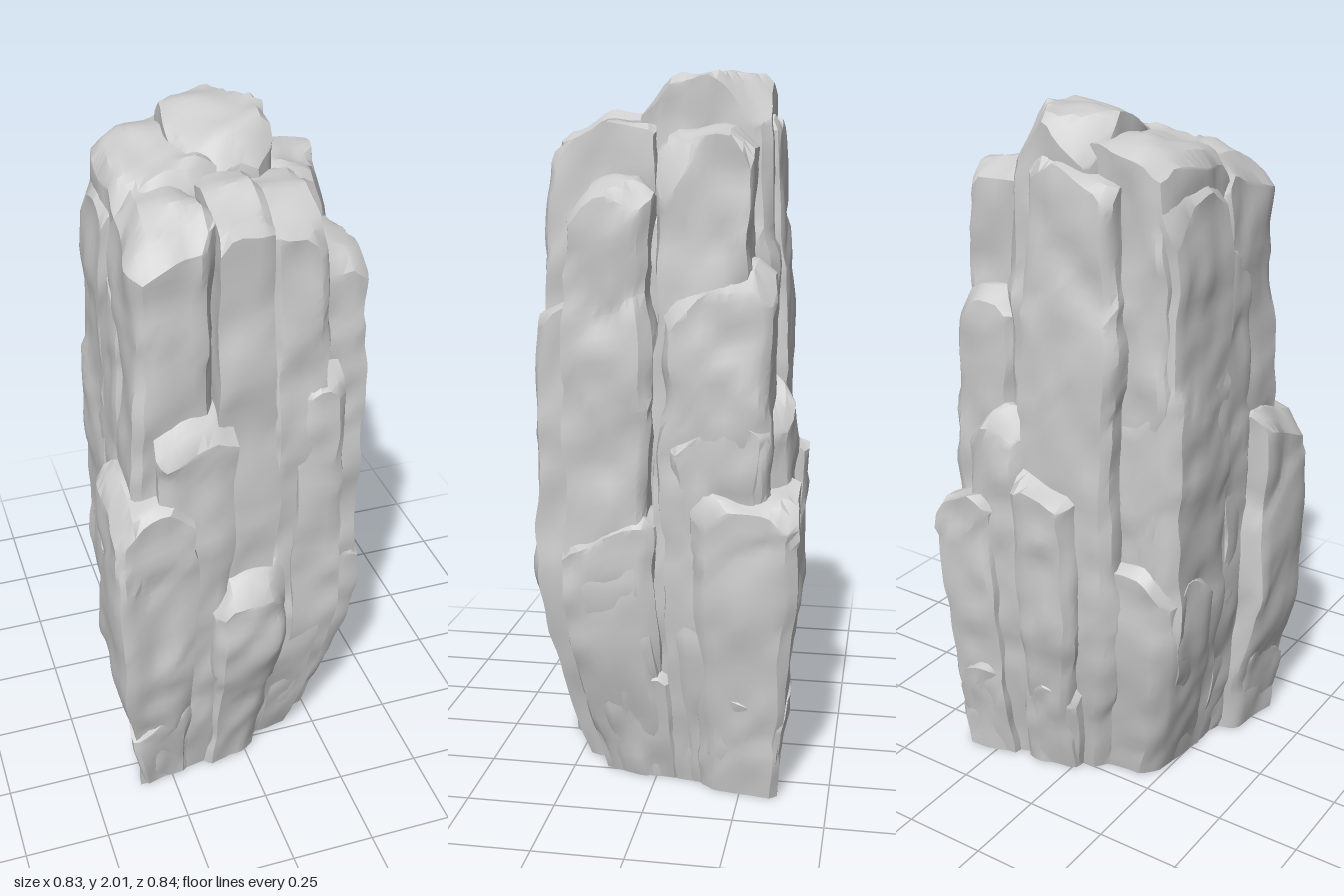
import * as THREE from 'three';
import { toCreasedNormals } from 'three/addons/utils/BufferGeometryUtils.js';

// Small seeded random generator
function seeded(seed) {
  let s = seed * 7919 + 17;
  return () => {
    s = (s * 16807) % 2147483647;
    return s / 2147483647;
  };
}

// Smooth value noise in -1..1
function hash(i, j, k) {
  const v = Math.sin(i * 127.1 + j * 311.7 + k * 74.7) * 43758.5453;
  return v - Math.floor(v);
}
function noise(x, y, z) {
  const i = Math.floor(x), j = Math.floor(y), k = Math.floor(z);
  const ease = (t) => t * t * (3 - 2 * t);
  const u = ease(x - i), v = ease(y - j), w = ease(z - k);
  let sum = 0;
  for (let a = 0; a < 2; a++) for (let b = 0; b < 2; b++) for (let c = 0; c < 2; c++) {
    sum += hash(i + a, j + b, k + c) * (a ? u : 1 - u) * (b ? v : 1 - v) * (c ? w : 1 - w);
  }
  return sum * 2 - 1;
}

// The pillar narrows towards foot and top, and more across one diagonal
function narrow(p) {
  const low = Math.pow(Math.max(0, 1 - p.y / 0.55), 1.3);
  const girth = 1 - 0.13 * low - 0.07 * THREE.MathUtils.smoothstep(p.y, 1.2, 1.9);
  const squeeze = ((p.x + p.z) / 2) * (0.05 + 0.25 * low);
  p.x = (p.x - squeeze) * girth;
  p.z = (p.z - squeeze) * girth;
}

// Flat cuts that chisel the top edges, upright edges and corners of a slab
function makeCuts(rnd, hw, hh, hd) {
  const cuts = [];
  const size = Math.min(hw, hd);
  const add = (x, y, z, depth) => {
    const n = new THREE.Vector3(x, y, z).normalize();
    const reach = Math.abs(n.x) * hw + Math.abs(n.y) * hh + Math.abs(n.z) * hd;
    cuts.push({ n, d: reach - depth * size });
  };
  for (const a of [-1, 1]) {
    add(a, 0.6 + rnd() * 0.6, (rnd() - 0.5) * 0.5, 0.1 + rnd() * 0.25);
    add((rnd() - 0.5) * 0.5, 0.6 + rnd() * 0.6, a, 0.1 + rnd() * 0.25);
    for (const b of [-1, 1]) {
      add(a * (0.5 + rnd()), (rnd() - 0.4) * 0.06, b, 0.1 + rnd() * 0.2);
      add(a * (0.4 + rnd()), 0.5 + rnd() * 0.6, b * (0.4 + rnd()), 0.25 + rnd() * 0.35);
    }
  }
  return cuts;
}

// Moves a point outside a cut down onto it, or inwards if the cut is upright
function applyCut(p, { n, d }) {
  if (p.dot(n) <= d) return;
  const level = n.x * p.x + n.z * p.z;
  if (n.y > 0.3) {
    p.y = (d - level) / n.y;
  } else {
    const k = (d - n.y * p.y) / level;
    p.x *= k;
    p.z *= k;
  }
}

// One upright slab of rock: chiselled, layered, weathered, its top falling away from the summit
const SUMMIT = new THREE.Vector3(0.08, 0, -0.2);
function makeSlab([name, x0, x1, z0, z1, top], index, material) {
  const width = x1 - x0, depth = z1 - z0, hh = top / 2;
  const centre = new THREE.Vector3((x0 + x1) / 2, hh, (z0 + z1) / 2);
  const cuts = makeCuts(seeded(index + 3), width / 2, hh, depth / 2);
  const away = centre.clone().sub(SUMMIT).setY(0).normalize();
  const fall = 0.75 - 0.2 * top;
  const seg = (length, step) => Math.round(length / step);
  const geo = new THREE.BoxGeometry(width, top, depth, seg(width, 0.028), seg(top, 0.035), seg(depth, 0.028));
  const pos = geo.attributes.position;
  const p = new THREE.Vector3();
  const o = index * 5.3;
  for (let i = 0; i < pos.count; i++) {
    p.fromBufferAttribute(pos, i);
    const onGround = p.y < -hh + 1e-4;
    cuts.forEach((cut) => applyCut(p, cut));
    const t = (p.y + hh) / top;
    p.y -= t * t * t * fall * Math.max(0, p.dot(away.setY(0)));
    // layers step in and out across horizontal cracks
    const layer = Math.floor(p.y * 3.2 + 0.5 * noise(p.x * 9, o, p.z * 9));
    const step = 1 - 0.09 * hash(index, layer, 3);
    p.x *= step;
    p.z *= step;
    p.add(centre);
    // broad dents, then finer chips
    const dx = 0.014 * noise(p.x * 7 + o, p.y * 5, p.z * 7) + 0.009 * noise(p.x * 16, p.y * 12 + o, p.z * 16);
    const dz = 0.014 * noise(p.x * 7, p.y * 5 + o, p.z * 7 + 31) + 0.009 * noise(p.x * 16 + 9, p.y * 12, p.z * 16 + o);
    p.y += 0.018 * t * (noise(p.x * 11 + 5, p.y * 5 + o, p.z * 11) - 1);
    p.y = onGround ? 0 : Math.max(0, p.y);
    p.x += dx;
    p.z += dz;
    narrow(p);
    pos.setXYZ(i, p.x, p.y, p.z);
  }
  const mesh = new THREE.Mesh(toCreasedNormals(geo, 0.55), material);
  mesh.name = name;
  return mesh;
}

// name, x from/to, z from/to, top height
const SLABS = [
  ['core', -0.28, 0.27, -0.27, 0.27, 1.66],
  // summit
  ['peak', -0.13, 0.18, -0.33, 0.09, 2.015],
  ['peakShoulder', -0.33, 0, -0.29, 0.14, 1.95],
  ['backCornerColumn', -0.36, -0.08, -0.28, 0.02, 1.88],
  ['backColumn', -0.2, 0.12, -0.36, -0.1, 1.9],
  // tall front columns
  ['frontRightColumn', -0.34, -0.08, 0.02, 0.34, 1.88],
  ['frontMiddleColumn', -0.1, 0.08, 0.02, 0.36, 1.91],
  ['frontLeftColumn', 0.05, 0.23, 0, 0.36, 1.88],
  ['frontLeftRib', 0.14, 0.28, 0.12, 0.36, 1.42],
  // left side
  ['leftFrontColumn', 0.16, 0.38, 0.01, 0.27, 1.74],
  ['leftBackColumn', 0.13, 0.36, -0.28, 0.01, 1.87],
  ['leftBackMiddle', 0.15, 0.375, -0.335, -0.01, 1.53],
  ['leftBackSlab', 0.16, 0.385, -0.33, -0.03, 1.18],
  ['leftFrontSlab', 0.17, 0.39, 0, 0.275, 0.83],
  // right side
  ['rightColumn', -0.345, -0.15, -0.12, 0.16, 1.68],
  ['rightBackSlab', -0.365, -0.12, -0.32, -0.03, 0.78],
  // low slabs leaning on the front
  ['frontRightLowSlab', -0.415, -0.17, 0.12, 0.4, 1.13],
  ['frontHighSlab', -0.28, -0.05, 0.14, 0.39, 1.36],
  ['frontLowSlab', -0.12, 0.11, 0.16, 0.42, 0.83],
  // low slabs leaning on the back
  ['backLeftCornerSlab', 0.19, 0.415, -0.41, -0.1, 0.93],
  ['backLeftHighSlab', 0.09, 0.32, -0.385, -0.12, 1.19],
  ['backLowSlab', -0.08, 0.11, -0.415, -0.15, 1.03],
  // blocks around the foot
  ['footLeft', 0.17, 0.4, -0.05, 0.25, 0.38],
  ['footBack', -0.1, 0.14, -0.42, -0.2, 0.39],
];

export function createModel() {
  const group = new THREE.Group();
  group.name = 'rockPillar';
  const material = new THREE.MeshStandardMaterial({ color: 0xcccccc });
  SLABS.forEach((slab, i) => group.add(makeSlab(slab, i, material)));
  // opposite blocks at the foot of the two jutting corners
  for (const s of [1, -1]) {
    const span = [0.19 * s, 0.41 * s].sort((a, b) => a - b);
    const across = [-0.41 * s, -0.13 * s].sort((a, b) => a - b);
    const name = s > 0 ? 'footBackLeft' : 'footFrontRight';
    group.add(makeSlab([name, ...span, ...across, 0.37], 40 + s, material));
  }
  return group;
}
